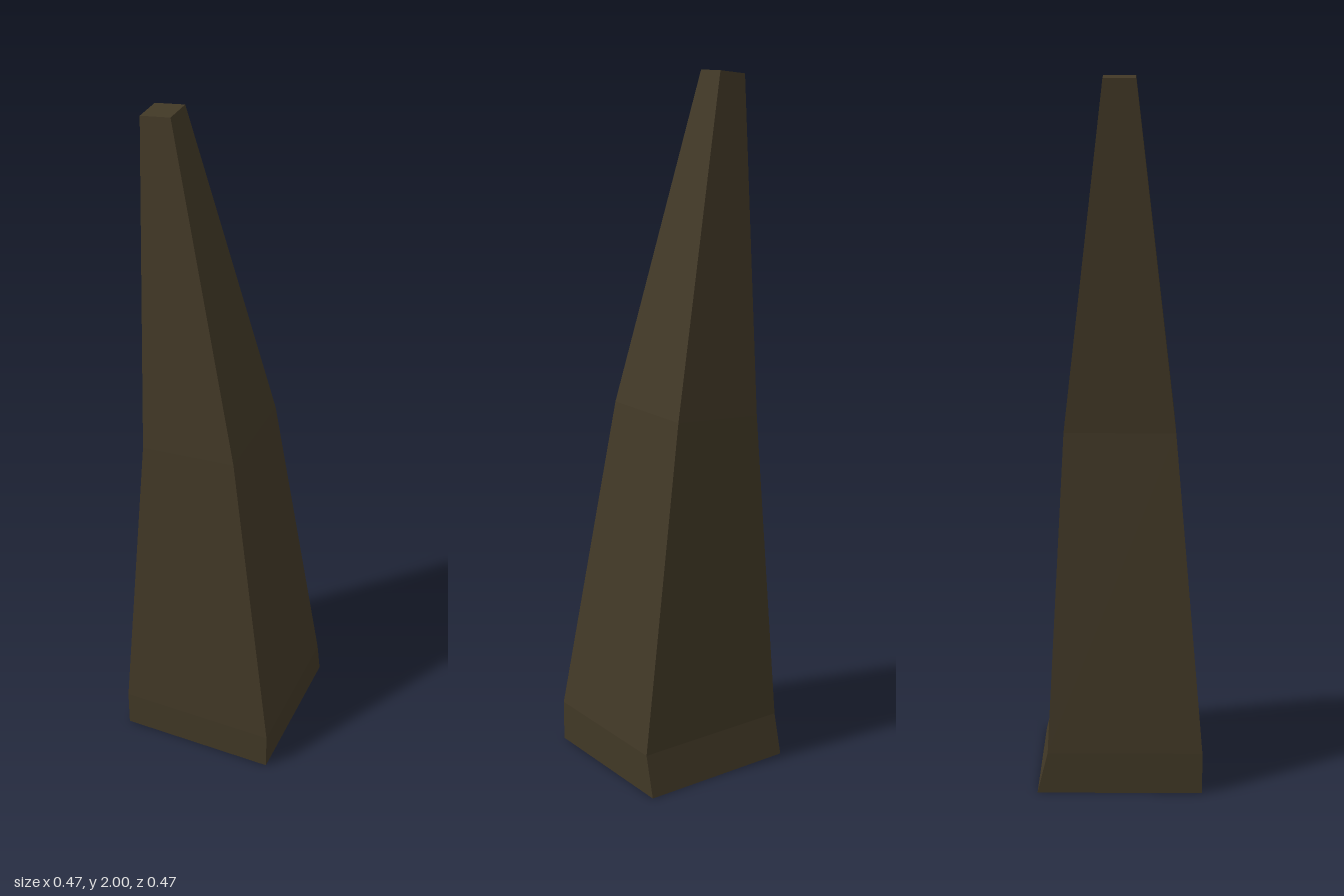
import * as THREE from 'three';

// Cross-sections from bottom to top: x range, z range, height at the -x and +x edges
const sections = [
  { x: [-0.235, 0.235], z: [-0.235, 0.235], y: [0, 0] },
  { x: [-0.235, 0.235], z: [-0.205, 0.235], y: [0.12, 0.12] },
  { x: [-0.19, 0.088], z: [-0.155, 0.155], y: [1.04, 1.06] },
  { x: [-0.22, -0.134], z: [-0.045, 0.043], y: [1.99, 2] },
];

export function createModel() {
  const group = new THREE.Group();
  group.name = 'leaningSpike';

  const darkBrown = new THREE.MeshStandardMaterial({ color: 0x413826 });
  darkBrown.name = 'darkBrown';

  // Segmented box whose rings are moved onto the cross-sections
  const box = new THREE.BoxGeometry(1, 1, 1, 1, sections.length - 1, 1);
  const p = box.attributes.position;
  for (let i = 0; i < p.count; i++) {
    const s = sections[Math.round((p.getY(i) + 0.5) * (sections.length - 1))];
    const side = p.getX(i) > 0 ? 1 : 0;
    const depth = p.getZ(i) > 0 ? 1 : 0;
    p.setXYZ(i, s.x[side], s.y[side], s.z[depth]);
  }

  // Separate faces give hard, flat facets
  const geometry = box.toNonIndexed();
  geometry.computeVertexNormals();

  const spike = new THREE.Mesh(geometry, darkBrown);
  spike.name = 'spikeBody';
  group.add(spike);
  return group;
}
